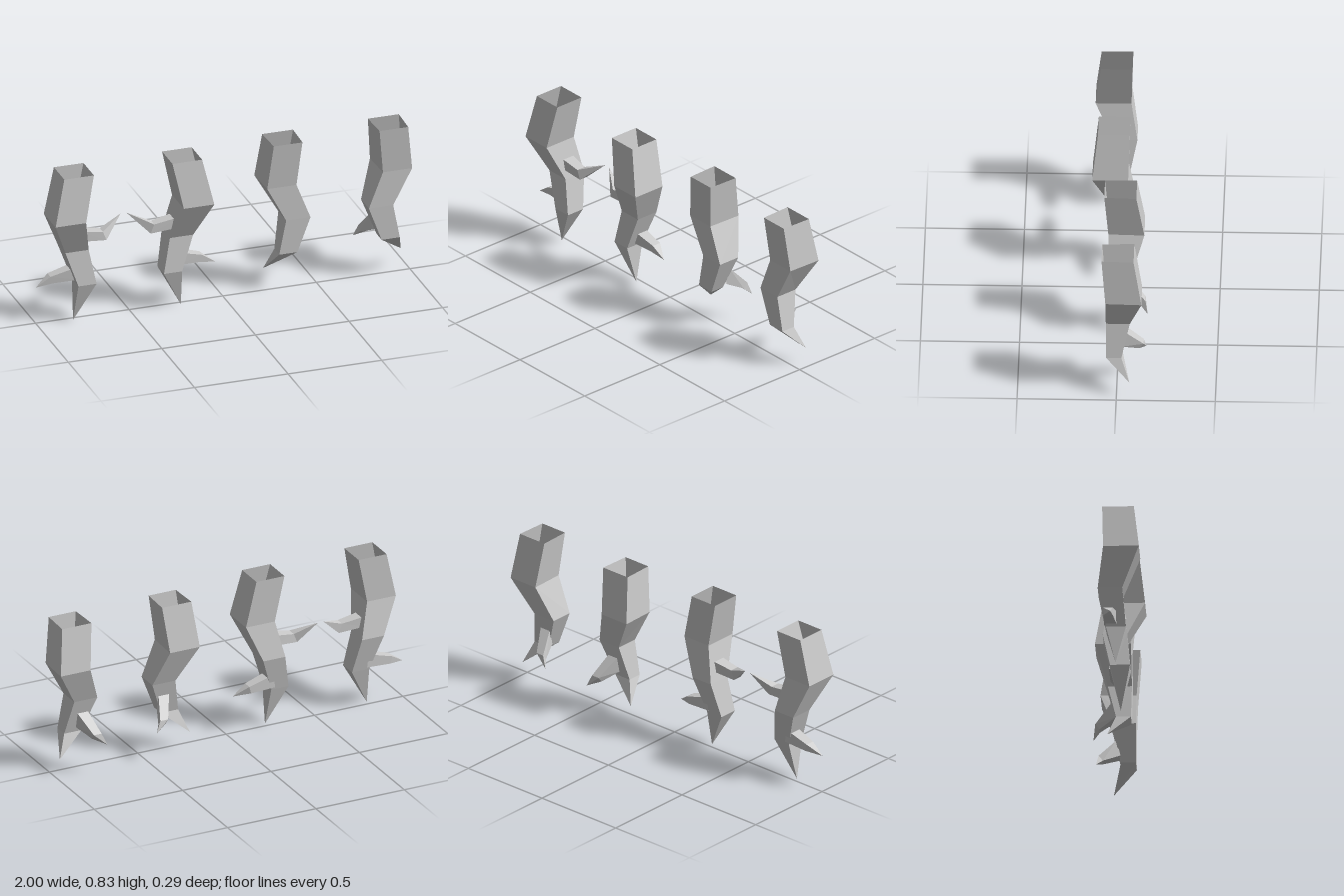
import * as THREE from 'three';

const material = new THREE.MeshStandardMaterial({
  color: 0xcccccc, flatShading: true, side: THREE.DoubleSide,
});

// Four-sided tapering horn: skins a list of square rings, open at the start, ending in a point.
// mirrorX, when given, reflects the part across that x plane.
function horn(name, rings, tip, mirrorX) {
  const all = [...rings, [tip, tip, tip, tip]];
  const pos = [];
  const tri = (a, b, c) => {
    const pts = mirrorX === null ? [a, b, c] : [a, c, b];
    for (const [x, y, z] of pts) pos.push(mirrorX === null ? x : 2 * mirrorX - x, y, z);
  };
  for (let k = 0; k < all.length - 1; k++) {
    const a = all[k], b = all[k + 1];
    for (let i = 0; i < 4; i++) {
      const j = (i + 1) % 4;
      tri(a[i], a[j], b[j]);
      if (k < all.length - 2) tri(a[i], b[j], b[i]);
    }
  }
  const geometry = new THREE.BufferGeometry();
  geometry.setAttribute('position', new THREE.Float32BufferAttribute(pos, 3));
  geometry.computeVertexNormals();
  const mesh = new THREE.Mesh(geometry, material);
  mesh.name = name;
  return mesh;
}

// Ring for a part running downwards; w widens the back edge
const level = (y, x0, x1, z0, z1, w = 0) =>
  [[x1 + w, y, z0], [x1, y, z1], [x0, y, z1], [x0 - w, y, z0]];
// Ring for a part running sideways, with its own x for the top and bottom edges
const side = (xTop, xBottom, yTop, yBottom, z0, z1) =>
  [[xTop, yTop, z0], [xTop, yTop, z1], [xBottom, yBottom, z1], [xBottom, yBottom, z0]];
// Ring for a part running backwards
const back = (x0, x1, yTop, yBottom, zTop, zBottom) =>
  [[x0, yTop, zTop], [x1, yTop, zTop], [x1, yBottom, zBottom], [x0, yBottom, zBottom]];

// Long root with an upturned thorn and a drooping thorn
function longRoot(name, mirrorX) {
  const root = new THREE.Group();
  root.name = name;
  root.add(
    horn('trunk', [
      level(0.835, -0.888, -0.73, -0.04, 0.12),
      level(0.59, -0.944, -0.781, -0.033, 0.148),
      level(0.397, -0.861, -0.737, -0.064, 0.06),
      level(0.21, -0.797, -0.7, -0.025, 0.076),
    ], [-0.808, 0.004, 0.024], mirrorX),
    horn('upperThorn', [
      side(-0.79, -0.78, 0.503, 0.445, -0.015, 0.055),
      side(-0.657, -0.638, 0.48, 0.432, 0, 0.05),
    ], [-0.535, 0.53, -0.03], mirrorX),
    horn('lowerThorn', [
      side(-0.79, -0.78, 0.295, 0.225, 0.03, -0.035),
      side(-0.925, -0.915, 0.256, 0.218, 0.015, -0.033),
    ], [-1, 0.203, 0.005], mirrorX),
  );
  return root;
}

// Short root with one thorn at the back
function shortRoot(name, mirrorX) {
  const root = new THREE.Group();
  root.name = name;
  root.add(
    horn('trunk', [
      level(0.828, 0.247, 0.4, -0.087, 0.075, 0.006),
      level(0.587, 0.219, 0.375, -0.127, 0.055, 0.006),
      level(0.397, 0.32, 0.45, -0.066, 0.055),
      level(0.212, 0.284, 0.381, -0.024, 0.052),
    ], [0.238, 0.094, -0.066], mirrorX),
    horn('backThorn', [
      back(0.345, 0.405, 0.325, 0.24, -0.045, -0.025),
      back(0.396, 0.44, 0.225, 0.197, -0.134, -0.112),
    ], [0.466, 0.164, -0.146], mirrorX),
  );
  return root;
}

export function createModel() {
  const model = new THREE.Group();
  model.name = 'thornyRoots';
  model.add(
    longRoot('longRootOuter', null),
    longRoot('longRootInner', -0.52),
    shortRoot('shortRootInner', null),
    shortRoot('shortRootOuter', 0.606),
  );
  return model;
}
